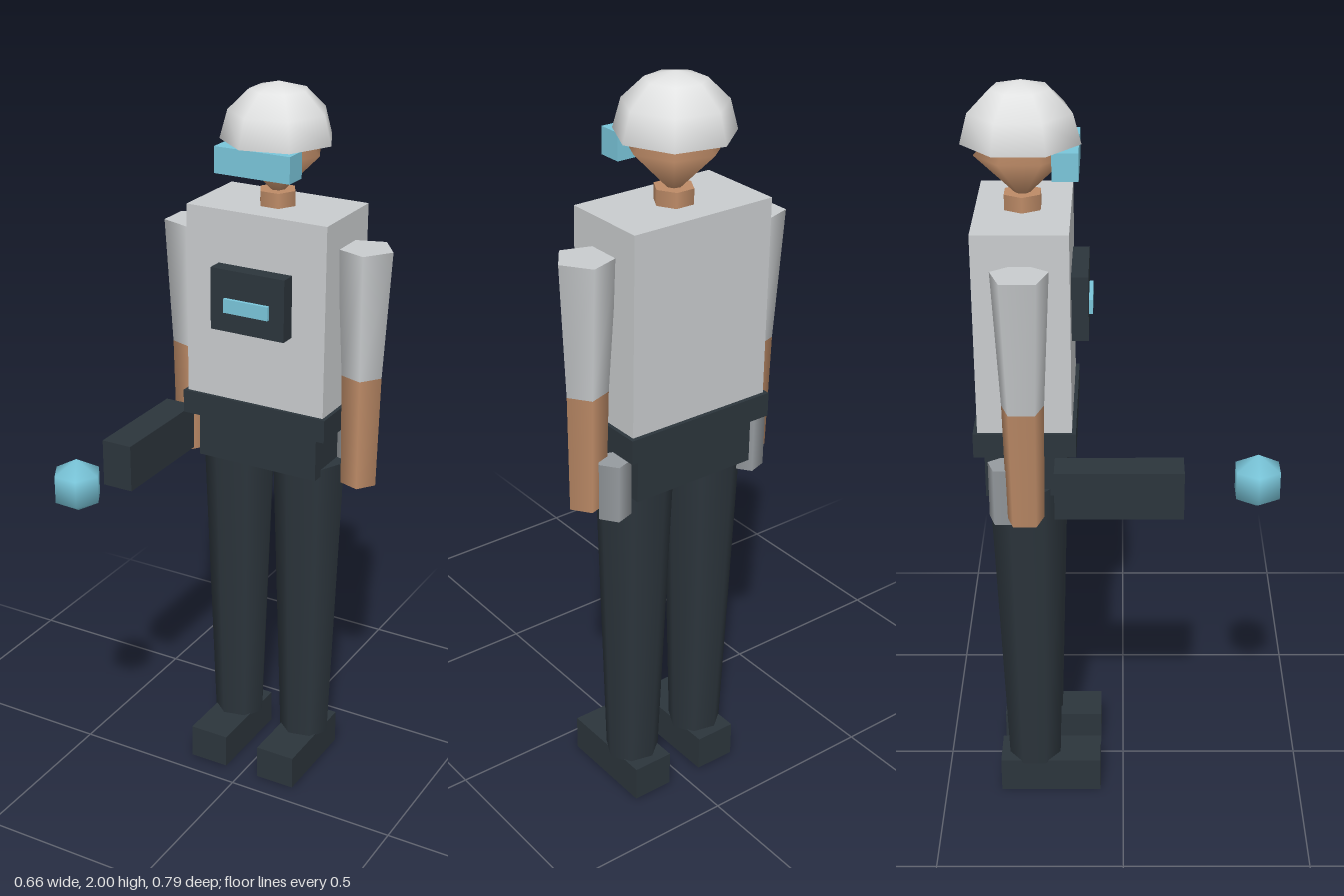
import * as THREE from 'three';

const CX = -0.006, CZ = -0.249; // body axis

export function createModel() {
  const model = new THREE.Group();
  model.name = 'patrolFigure';

  const paint = (name, color) => {
    const m = new THREE.MeshStandardMaterial({ color });
    m.name = name;
    return m;
  };
  const dark = paint('darkNavy', 0x2c353c);
  const shirt = paint('lightGrey', 0xc9ccce);
  const white = paint('capWhite', 0xe2e3e3);
  const skin = paint('skin', 0xbd8b67);
  const cyan = paint('cyan', 0x7ac6da);
  const steel = paint('steelGrey', 0x969b9f);

  const add = (name, geometry, material, x, y, z) => {
    const mesh = new THREE.Mesh(geometry, material);
    mesh.name = name;
    mesh.position.set(x, y, z);
    model.add(mesh);
    return mesh;
  };
  // Box given by its limits on each axis
  const box = (name, mat, [x0, x1], [y0, y1], [z0, z1]) =>
    add(name, new THREE.BoxGeometry(x1 - x0, y1 - y0, z1 - z0), mat,
      (x0 + x1) / 2, (y0 + y1) / 2, (z0 + z1) / 2);
  // Tapered upright prism with one corner pointing to +x
  const post = (name, mat, sides, rTop, rBottom, x, [y0, y1], z) =>
    add(name, new THREE.CylinderGeometry(rTop, rBottom, y1 - y0, sides).rotateY(Math.PI / 2),
      mat, x, (y0 + y1) / 2, z);

  // Legs, boots, arms and hip canisters on both sides
  for (const [side, s] of [['left', 1], ['right', -1]]) {
    const leg = CX + s * 0.11;
    box(side + 'Boot', dark, [leg - 0.058, leg + 0.058], [0, 0.1], [-0.344, -0.064]);
    post(side + 'Leg', dark, 7, 0.103, 0.073, leg + 0.002, [0.095, 0.98], CZ);
    const arm = CX + s * 0.261;
    post(side + 'Sleeve', shirt, 5, 0.075, 0.056, arm, [1.25, 1.6], CZ);
    post(side + 'Forearm', skin, 5, 0.056, 0.05, arm, [0.935, 1.25], CZ);
    post(side + 'HipCanister', steel, 5, 0.045, 0.045, CX + s * 0.216, [0.915, 1.07], -0.302);
  }

  // Trunk
  box('pelvis', dark, [-0.186, 0.174], [0.96, 1.09], [-0.354, -0.144]);
  box('belt', dark, [-0.222, 0.21], [1.09, 1.155], [-0.379, -0.119]);
  box('torso', shirt, [-0.212, 0.2], [1.155, 1.68], [-0.368, -0.129]);
  box('chestPanel', dark, [-0.115, 0.103], [1.365, 1.535], [-0.13, -0.086]);
  box('chestScreen', cyan, [-0.072, 0.06], [1.42, 1.458], [-0.088, -0.076]);

  // Head
  post('neck', skin, 6, 0.052, 0.052, CX, [1.64, 1.72], CZ);
  add('head', new THREE.SphereGeometry(0.12, 7, 2).rotateY(Math.PI), skin, CX, 1.82, CZ);
  box('visor', cyan, [-0.115, 0.103], [1.78, 1.85], [-0.172, -0.107]);
  const dome = new THREE.SphereGeometry(0.152, 7, 3, 0, Math.PI * 2, 0, Math.PI / 2);
  add('cap', dome.rotateY(Math.PI), white, CX, 1.85, CZ).scale.y = 0.15 / 0.152;
  const brim = new THREE.CircleGeometry(0.152, 7).rotateX(Math.PI / 2);
  add('capUnderside', brim, white, CX, 1.85, CZ);

  // Tool carried at the right hand, with a glowing ball ahead of it
  box('handTool', dark, [-0.31, -0.223], [0.96, 1.09], [-0.173, 0.153]);
  add('energyBall', new THREE.SphereGeometry(0.073, 6, 3), cyan, -0.266, 1.048, 0.338);

  return model;
}
